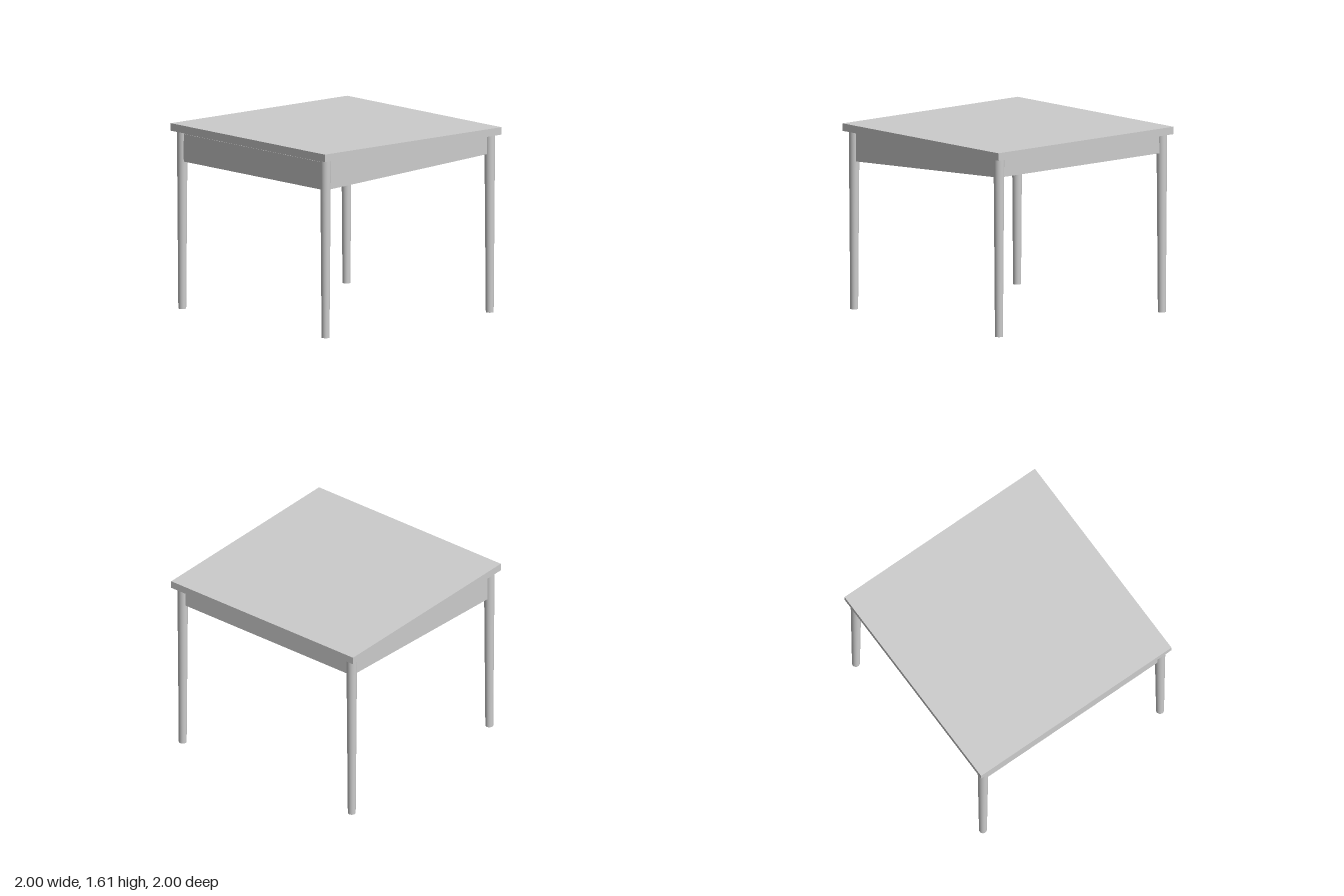
import * as THREE from 'three';

export function createModel() {
  const group = new THREE.Group();
  const material = new THREE.MeshStandardMaterial({ color: 0xcccccc });
  const add = (name, geometry, x = 0, y = 0, z = 0) => {
    const mesh = new THREE.Mesh(geometry, material);
    mesh.name = name;
    mesh.position.set(x, y, z);
    group.add(mesh);
    return mesh;
  };

  const underside = 1.54; // height of the tabletop's lower face
  const half = 0.945;     // half width of the case
  const legAt = 0.93;     // leg centres

  // Square tabletop
  add('tabletop', new THREE.BoxGeometry(2, 0.065, 2), 0, underside + 0.0325, 0);

  // Closed case whose bottom rises from front to back; profile x is -z
  const profile = new THREE.Shape([
    new THREE.Vector2(-half, 1.28),
    new THREE.Vector2(half, 1.38),
    new THREE.Vector2(half, underside),
    new THREE.Vector2(-half, underside),
  ]);
  const caseGeometry = new THREE.ExtrudeGeometry(profile, { depth: half * 2, bevelEnabled: false });
  caseGeometry.translate(0, 0, -half).rotateY(Math.PI / 2);
  add('apronCase', caseGeometry);

  // Drawer front between the front legs
  add('drawerFront', new THREE.BoxGeometry(1.84, 0.22, 0.02), 0, 1.41, half - 0.006);

  // Round tapered legs
  const legGeometry = new THREE.CylinderGeometry(0.046, 0.034, underside, 32);
  for (const [side, x] of [['Left', legAt], ['Right', -legAt]]) {
    for (const [end, z] of [['front', legAt], ['back', -legAt]]) {
      add(`${end}${side}Leg`, legGeometry, x, underside / 2, z);
    }
  }

  return group;
}
